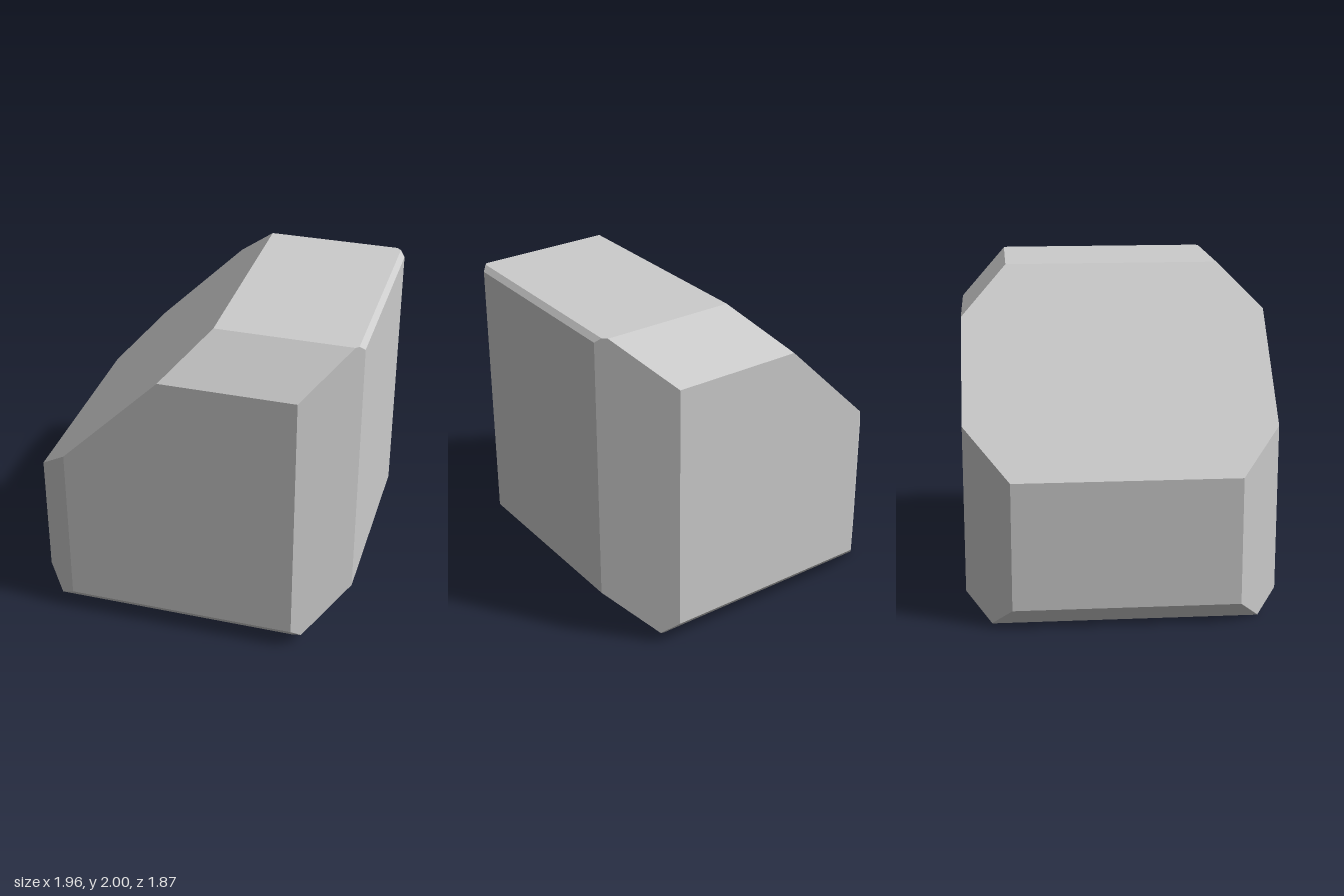
import * as THREE from 'three';

// Faces of the block: outward direction (x, y, z) and its limit, so x*nx + y*ny + z*nz <= limit
const FACES = [
  // main sides
  [1, 0, 0, 0.98], [-1, 0, 0, 0.98],
  [0, 1, 0, 2], [0, -1, 0, 0],
  [0, 0, 1, 0.935], [0, 0, -1, 0.935],
  // top bevels: left, right (large slope), front, back
  [1, 1, 0, 2.95], [-1, 1, 0, 1.88], [0, 1, 1, 2.678], [0, 1, -1, 2.655],
  // bottom bevels: left, right, front, back
  [1, -1, 0, 0.655], [-1, -1, 0, 0.857], [0, -1, 1, 0.808], [0, -1, -1, 0.78],
  // upright corner bevels
  [1, 0, 1, 1.61], [-1, 0, 1, 1.67], [1, 0, -1, 1.58], [-1, 0, -1, 1.643],
];

// Point where three face planes meet, or null if they do not
function meet(a, b, c) {
  const m = new THREE.Matrix3().set(a[0], a[1], a[2], b[0], b[1], b[2], c[0], c[1], c[2]);
  if (Math.abs(m.determinant()) < 1e-6) return null;
  return new THREE.Vector3(a[3], b[3], c[3]).applyMatrix3(m.invert());
}

const inside = (p) => FACES.every(([x, y, z, d]) => p.x * x + p.y * y + p.z * z <= d + 1e-6);

// Corners of one face, in order around its outward normal
function faceCorners(face, normal) {
  const corners = [];
  for (let i = 0; i < FACES.length; i++) {
    for (let j = i + 1; j < FACES.length; j++) {
      const p = meet(face, FACES[i], FACES[j]);
      if (p && inside(p) && !corners.some((q) => q.distanceTo(p) < 1e-5)) corners.push(p);
    }
  }
  if (corners.length < 3) return [];
  const centre = corners.reduce((s, p) => s.add(p), new THREE.Vector3()).divideScalar(corners.length);
  const u = corners[0].clone().sub(centre).normalize();
  const v = normal.clone().cross(u);
  const angle = (p) => {
    const d = p.clone().sub(centre);
    return Math.atan2(d.dot(v), d.dot(u));
  };
  return corners.sort((p, q) => angle(p) - angle(q));
}

function bevelledBlockGeometry() {
  const positions = [];
  for (const face of FACES) {
    const normal = new THREE.Vector3(face[0], face[1], face[2]).normalize();
    const c = faceCorners(face, normal);
    for (let k = 1; k + 1 < c.length; k++) {
      for (const p of [c[0], c[k], c[k + 1]]) positions.push(p.x, p.y, p.z);
    }
  }
  const geometry = new THREE.BufferGeometry();
  geometry.setAttribute('position', new THREE.Float32BufferAttribute(positions, 3));
  geometry.computeVertexNormals();
  return geometry;
}

export function createModel() {
  const group = new THREE.Group();
  group.name = 'bevelledBlock';
  const material = new THREE.MeshStandardMaterial({ color: 0xcccccc, flatShading: true });
  const block = new THREE.Mesh(bevelledBlockGeometry(), material);
  block.name = 'block';
  group.add(block);
  return group;
}
